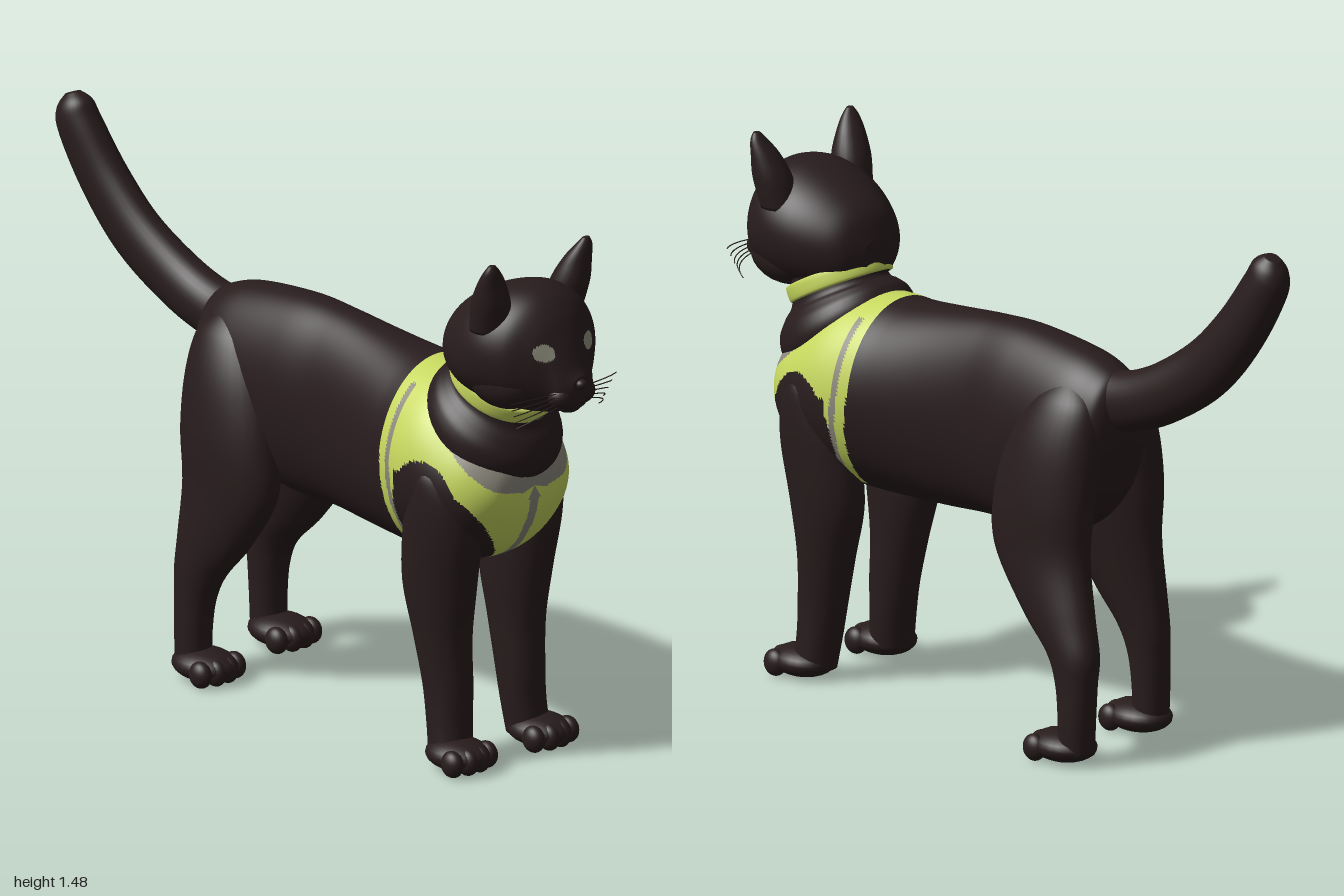
import * as THREE from 'three';

const mat = (name, color) => {
  const m = new THREE.MeshStandardMaterial({ color });
  m.name = name;
  return m;
};

// Catmull-Rom blend of four section rows
const blend = (a, b, c, d, t) => b.map((v, k) =>
  0.5 * (2 * v + (c[k] - a[k]) * t + (2 * a[k] - 5 * v + 4 * c[k] - d[k]) * t * t
    + (3 * v - a[k] - 3 * c[k] + d[k]) * t * t * t));

// Smooth closed loft. Section: [x, y, z, radius in xy plane, radius in z, path angle in degrees].
// paint(x, y, z) returns the material slot of each face.
function loft(name, sections, materials, { steps = 6, sides = 32, paint = () => 0 } = {}) {
  const rows = [];
  const last = sections.length - 1;
  for (let i = 0; i < last; i++) {
    for (let s = 0; s < steps; s++) {
      rows.push(blend(sections[Math.max(i - 1, 0)], sections[i], sections[i + 1],
        sections[Math.min(i + 2, last)], s / steps));
    }
  }
  rows.push(sections[last]);

  const pos = [];
  for (const [x, y, z, ra, rz, deg] of rows) {
    const a = THREE.MathUtils.degToRad(deg);
    for (let j = 0; j < sides; j++) {
      const t = (j / sides) * Math.PI * 2;
      const r = ra * Math.cos(t);
      pos.push(x + r * Math.sin(a), y - r * Math.cos(a), z + rz * Math.sin(t));
    }
  }
  const start = pos.length / 3;
  pos.push(...rows[0].slice(0, 3), ...rows[rows.length - 1].slice(0, 3));

  const lists = materials.map(() => []);
  const face = (...f) => {
    const c = [0, 1, 2].map(k => (pos[f[0] * 3 + k] + pos[f[1] * 3 + k] + pos[f[2] * 3 + k]) / 3);
    lists[paint(...c)].push(...f);
  };
  const top = (rows.length - 1) * sides;
  for (let j = 0; j < sides; j++) {
    const n = (j + 1) % sides;
    for (let i = 0; i < rows.length - 1; i++) {
      const p = i * sides, q = p + sides;
      face(p + j, q + j, p + n);
      face(p + n, q + j, q + n);
    }
    face(start, j, n);
    face(start + 1, top + n, top + j);
  }

  const geo = new THREE.BufferGeometry();
  geo.setAttribute('position', new THREE.Float32BufferAttribute(pos, 3));
  geo.setIndex(lists.flat());
  let offset = 0;
  lists.forEach((l, k) => { geo.addGroup(offset, l.length, k); offset += l.length; });
  geo.computeVertexNormals();
  const mesh = new THREE.Mesh(geo, materials.length > 1 ? materials : materials[0]);
  mesh.name = name;
  return mesh;
}

// Section rows for a loft running along x: [x, bottom, top, half width]
const alongX = list => list.map(([x, b, t, w]) => [x, (b + t) / 2, 0, (t - b) / 2, w, 0]);
// Section rows for a loft running upward: [y, back x, front x, centre z, half width]
const upward = list => list.map(([y, x0, x1, z, w]) => [(x0 + x1) / 2, y, z, (x1 - x0) / 2, w, 90]);

export function createModel() {
  const cat = new THREE.Group();
  cat.name = 'cat';
  const fur = mat('dark brown fur', 0x281c1d);
  const lime = mat('lime vest', 0xc6d75e);
  const grey = mat('grey trim', 0x8c887c);
  const eye = mat('pale eye', 0x8e8e7e);

  const ball = (name, x, y, z, rx, ry, rz, parent) => {
    const m = new THREE.Mesh(new THREE.SphereGeometry(1, 24, 16), fur);
    m.name = name;
    m.position.set(x, y, z);
    m.scale.set(rx, ry, rz);
    parent.add(m);
  };

  // Torso, with the vest laid out on its front half: strap, leg holes, pointed chest, trim
  const vest = (x, y, z) => {
    const w = Math.abs(z);
    const strap = x - 0.408 - Math.max(0, 0.85 - y) * 0.1;
    if (strap < 0 || y < 0.53 || (x < 0.5 && y < 0.57)) return 0;
    if (w > 0.1 && ((x - 0.588) / 0.12) ** 2 + ((y - 0.7) / 0.168) ** 2 < 1) return 0;
    if (x > 0.48 && y < 0.53 + 1.25 * w) return 0;
    if (x > 0.6 && w < 0.015) return 2;
    if (x > 0.57 && y + 0.85 * x > 1.46) return 2;
    return y < 1.03 && strap > 0.03 && strap < 0.05 ? 2 : 1;
  };
  cat.add(loft('torso and vest', alongX([
    [-0.46, 0.87, 0.97, 0.03], [-0.44, 0.78, 1.03, 0.09], [-0.4, 0.68, 1.06, 0.125],
    [-0.3, 0.59, 1.09, 0.155], [-0.1, 0.55, 1.11, 0.155], [0.05, 0.55, 1.105, 0.148],
    [0.2, 0.54, 1.09, 0.167], [0.35, 0.535, 1.075, 0.2], [0.45, 0.535, 1.072, 0.225],
    [0.55, 0.54, 1.06, 0.235], [0.65, 0.57, 1.0, 0.22], [0.72, 0.62, 0.95, 0.185],
    [0.77, 0.7, 0.89, 0.125], [0.787, 0.76, 0.84, 0.05],
  ]), [fur, lime, grey], { steps: 13, sides: 160, paint: vest }));

  // Neck with its soft roll, and the collar above it
  cat.add(loft('neck roll', [
    [0.585, 0.86, 0, 0.15, 0.15, 53], [0.62, 0.93, 0, 0.195, 0.185, 55],
    [0.645, 0.975, 0, 0.195, 0.178, 57], [0.655, 1.01, 0, 0.17, 0.152, 60],
    [0.66, 1.04, 0, 0.14, 0.132, 62], [0.68, 1.12, 0, 0.135, 0.13, 62],
  ], [fur], { sides: 48 }));
  cat.add(loft('collar', [
    [0.652, 1.048, 0, 0.142, 0.134, 62], [0.655, 1.053, 0, 0.15, 0.141, 62],
    [0.671, 1.083, 0, 0.15, 0.141, 62], [0.674, 1.088, 0, 0.142, 0.134, 62],
  ], [lime], { sides: 48, steps: 3 }));

  // Head, set a touch to its left, with the eyes as separate faces
  const head = new THREE.Group();
  head.name = 'head';
  head.position.z = 0.012;
  cat.add(head);
  const eyes = (x, y, z) =>
    x > 0.85 && ((Math.abs(z) - 0.08) / 0.027) ** 2 + ((y - 1.23) / 0.023) ** 2 < 1 ? 1 : 0;
  head.add(loft('skull', alongX([
    [0.53, 1.12, 1.2, 0.05], [0.56, 1.07, 1.27, 0.11], [0.62, 1.04, 1.32, 0.155],
    [0.7, 1.03, 1.36, 0.187], [0.78, 1.03, 1.38, 0.193], [0.85, 1.035, 1.367, 0.17],
    [0.9, 1.045, 1.325, 0.124], [0.935, 1.055, 1.26, 0.082], [0.965, 1.065, 1.185, 0.058],
    [0.982, 1.09, 1.16, 0.03],
  ]), [fur, eye], { steps: 12, sides: 160, paint: eyes }));
  ball('nose', 0.982, 1.14, 0, 0.017, 0.014, 0.017, head);
  ball('chin', 0.935, 1.075, 0, 0.032, 0.025, 0.04, head);

  for (const s of [1, -1]) {
    const side = s > 0 ? 'left' : 'right';
    ball(side + ' muzzle', 0.943, 1.105, s * 0.034, 0.037, 0.035, 0.042, head);
    ball(side + ' cheek', 0.78, 1.13, s * 0.085, 0.12, 0.085, 0.088, head);
    head.add(loft(side + ' ear', upward([
      [1.27, 0.71, 0.82, s * 0.13, 0.055], [1.35, 0.73, 0.837, s * 0.143, 0.054],
      [1.41, 0.762, 0.835, s * 0.155, 0.042], [1.45, 0.792, 0.832, s * 0.166, 0.026],
      [1.472, 0.81, 0.825, s * 0.17, 0.01],
    ]), [fur], { sides: 24 }));

    // Whiskers
    for (let i = 0; i < 5; i++) {
      const reach = s > 0 ? 0.215 - i * 0.012 : 0.17 - i * 0.01;
      const path = new THREE.QuadraticBezierCurve3(
        new THREE.Vector3(0.955, 1.12 - i * 0.009, s * 0.045),
        new THREE.Vector3(0.96, 1.125 - i * 0.014, s * 0.13),
        new THREE.Vector3(0.935 - i * 0.006, 1.12 - i * 0.021, s * reach));
      const w = new THREE.Mesh(new THREE.TubeGeometry(path, 10, 0.0016, 5), fur);
      w.name = side + ' whisker';
      head.add(w);
    }

    // Paw with four toes
    const paw = (name, x, z, length) => {
      const g = new THREE.Group();
      g.name = name;
      ball('pad', x, 0.043, z, length, 0.043, 0.08, g);
      for (let i = 0; i < 4; i++) {
        const k = i - 1.5;
        ball('toe', x + length * 0.7 - Math.abs(k) * 0.014, 0.037, z + k * 0.041,
          0.036, 0.037, 0.026, g);
      }
      cat.add(g);
    };

    // Front leg
    cat.add(loft(side + ' front leg', upward([
      [0.03, 0.55, 0.67, s * 0.14, 0.06], [0.12, 0.535, 0.66, s * 0.133, 0.062],
      [0.22, 0.515, 0.66, s * 0.13, 0.064], [0.35, 0.485, 0.658, s * 0.133, 0.072],
      [0.5, 0.448, 0.68, s * 0.138, 0.084], [0.65, 0.46, 0.705, s * 0.145, 0.09],
      [0.75, 0.485, 0.7, s * 0.148, 0.091], [0.82, 0.515, 0.67, s * 0.148, 0.085],
      [0.86, 0.55, 0.63, s * 0.15, 0.06],
    ]), [fur]));
    paw(side + ' front paw', 0.645, s * 0.147, 0.095);

    // Hind leg; the right one stands a little further back and wider
    const back = s > 0 ? 0 : -0.075;
    const wide = s > 0 ? 0 : 0.01;
    cat.add(loft(side + ' hind leg', upward([
      [0.03, -0.42, -0.32, 0.165, 0.05], [0.12, -0.425, -0.32, 0.165, 0.05],
      [0.22, -0.43, -0.305, 0.162, 0.052], [0.3, -0.435, -0.265, 0.158, 0.058],
      [0.4, -0.43, -0.18, 0.15, 0.07], [0.55, -0.425, -0.095, 0.135, 0.085],
      [0.7, -0.44, -0.1, 0.125, 0.093], [0.85, -0.44, -0.14, 0.105, 0.09],
      [0.96, -0.42, -0.2, 0.085, 0.068], [1.02, -0.36, -0.27, 0.07, 0.03],
    ].map(([y, a, b, z, w]) => {
      const t = THREE.MathUtils.clamp((0.6 - y) / 0.3, 0, 1);
      return [y, a + back * t, b + back * t, s * (z + wide * t), w];
    })), [fur]));
    paw(side + ' hind paw', -0.33 + back * 0.85, s * (0.162 + wide), 0.1);
  }

  // Tail
  cat.add(loft('tail', [
    [-0.34, 0.96, 0, 0.09, 0.07, 178], [-0.45, 0.972, 0.005, 0.083, 0.07, 172],
    [-0.58, 1.02, 0.015, 0.083, 0.066, 157], [-0.73, 1.12, 0.035, 0.083, 0.062, 140],
    [-0.845, 1.25, 0.05, 0.077, 0.06, 125], [-0.925, 1.385, 0.065, 0.068, 0.056, 115],
    [-0.943, 1.44, 0.068, 0.054, 0.046, 112], [-0.95, 1.47, 0.068, 0.022, 0.02, 110],
  ], [fur]));

  return cat;
}
